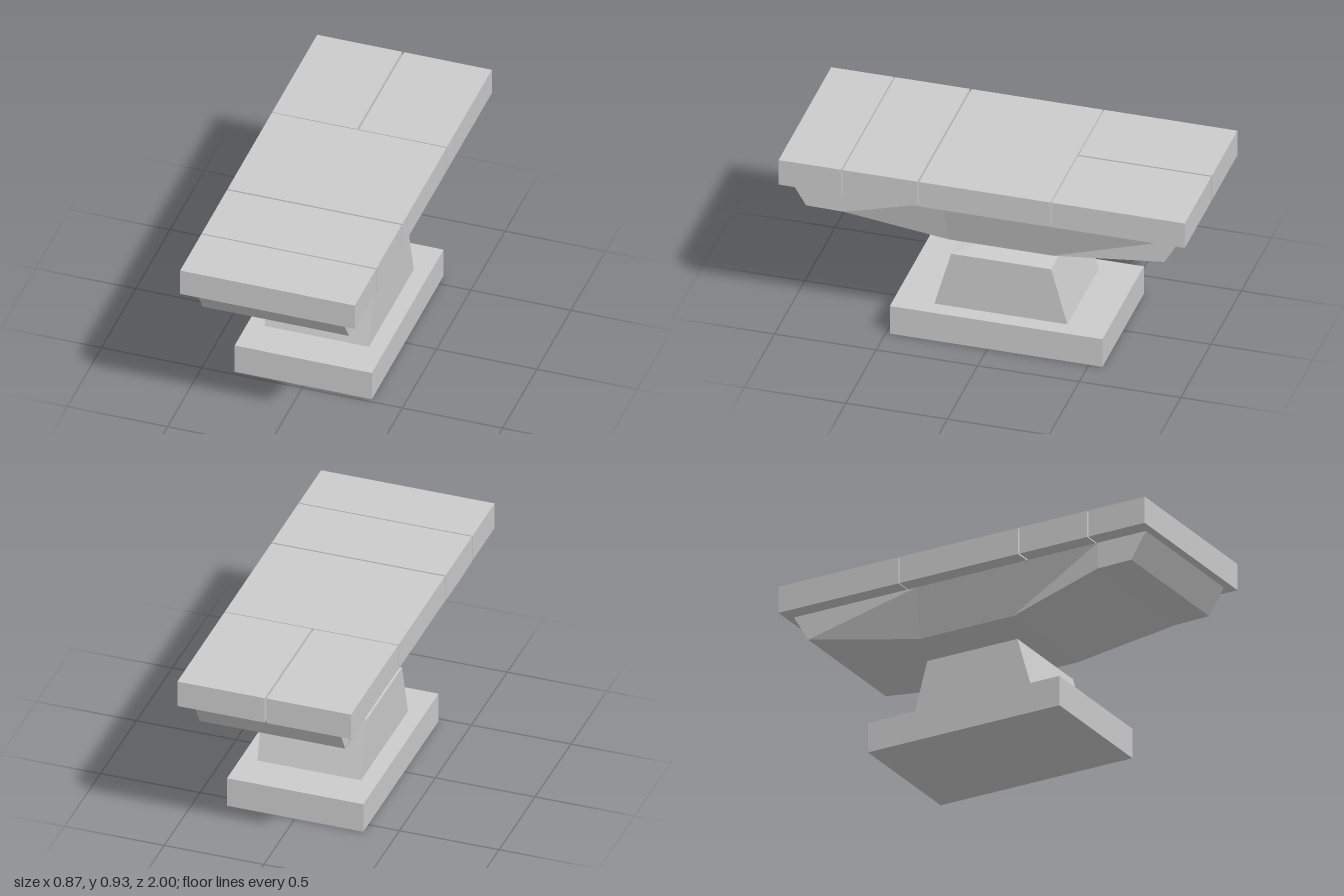
import * as THREE from 'three';

const material = new THREE.MeshStandardMaterial({ color: 0xcccccc, flatShading: true });

// Closed solid through four-cornered rings, counterclockwise seen from the first end
function loft(name, rings) {
  const pos = [];
  const quad = (a, b, c, d) => pos.push(...a, ...b, ...c, ...a, ...c, ...d);
  quad(...rings[0]);
  quad(...[...rings[rings.length - 1]].reverse());
  for (let r = 0; r < rings.length - 1; r++) {
    const a = rings[r], b = rings[r + 1];
    for (let i = 0; i < 4; i++) {
      const j = (i + 1) % 4;
      quad(a[i], b[i], b[j], a[j]);
    }
  }
  const geometry = new THREE.BufferGeometry();
  geometry.setAttribute('position', new THREE.Float32BufferAttribute(pos, 3));
  geometry.computeVertexNormals();
  const mesh = new THREE.Mesh(geometry, material);
  mesh.name = name;
  return mesh;
}

// Horizontal rectangle at height y
const level = (y, x0, x1, z0, z1) => [[x0, y, z0], [x1, y, z0], [x1, y, z1], [x0, y, z1]];

function block(name, x0, x1, y0, y1, z0, z1) {
  const mesh = new THREE.Mesh(new THREE.BoxGeometry(x1 - x0, y1 - y0, z1 - z0), material);
  mesh.position.set((x0 + x1) / 2, (y0 + y1) / 2, (z0 + z1) / 2);
  mesh.name = name;
  return mesh;
}

export function createModel() {
  const table = new THREE.Group();
  table.name = 'operatingTable';

  // Foot, tapered pedestal with sloped shoulders, and neck
  table.add(block('base', -0.343, 0.341, 0, 0.153, -0.567, 0.48));
  table.add(loft('pedestal', [
    level(0.153, -0.26, 0.26, -0.37, 0.285),
    level(0.444, -0.26, 0.26, -0.29, 0.202),
    level(0.465, -0.08, 0.08, -0.113, 0.028),
  ]));
  table.add(block('neck', -0.08, 0.08, 0.465, 0.53, -0.113, 0.028));

  // Shallow plate spreading from the neck to the hull
  table.add(loft('neckFlare', [
    level(0.529, -0.08, 0.08, -0.113, 0.028),
    level(0.547, -0.3, 0.3, -0.31, 0.202),
  ]));

  // Hull under the top: [top z, bottom z, bottom half width, bottom y]
  const stations = [
    [0.965, 0.885, 0.365, 0.654],
    [0.7, 0.7, 0.365, 0.651],
    [0.22, 0.202, 0.3, 0.547],
    [-0.29, -0.31, 0.3, 0.547],
    [-0.957, -0.88, 0.365, 0.651],
  ];
  table.add(loft('hull', stations.map(([zt, zb, x, y]) => [
    [0.365, 0.785, zt], [-0.365, 0.785, zt], [-x, y, zb], [x, y, zb],
  ])));

  // Cushions with narrow gaps, the rear one split lengthwise
  const cushions = [
    ['headCushion', -0.437, 0.434, 0.692, 1],
    ['shoulderCushion', -0.437, 0.434, 0.317, 0.685],
    ['bodyCushion', -0.437, 0.434, -0.339, 0.308],
    ['rightLegCushion', -0.437, -0.014, -1, -0.344],
    ['leftLegCushion', -0.004, 0.434, -1, -0.344],
  ];
  for (const [name, x0, x1, z0, z1] of cushions) {
    table.add(block(name, x0, x1, 0.79, 0.926, z0, z1));
  }
  return table;
}
